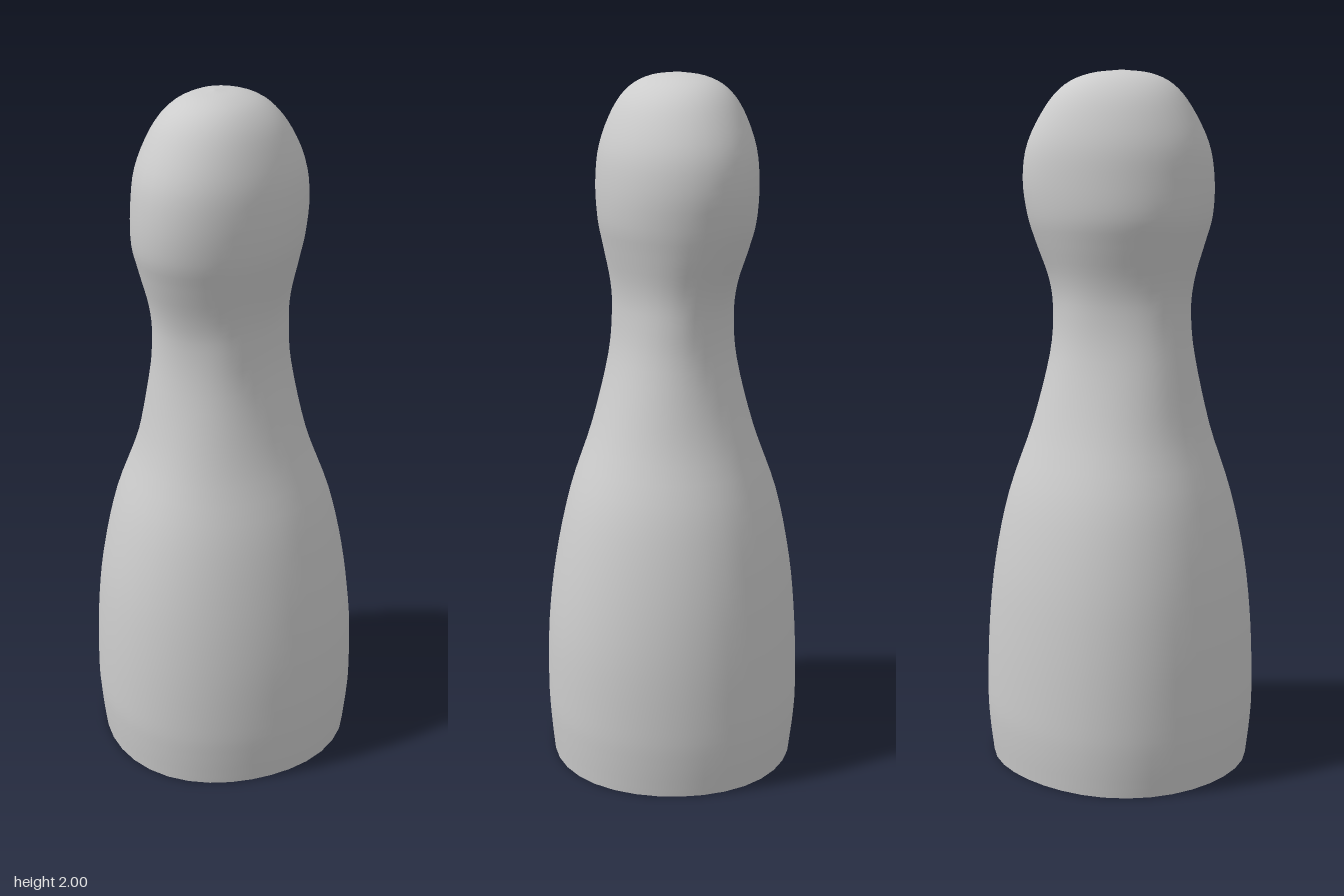
import * as THREE from 'three';

// Height; extent of the section: left x, right x, back z, front z;
// then skew (longer on one diagonal) and pinch (shorter on both diagonals)
const sections = [
  [0, -0.375, 0.375, -0.38, 0.376, 0.022, 0.022],
  [0.1, -0.386, 0.384, -0.391, 0.387, 0.022, 0.022],
  [0.2, -0.39, 0.388, -0.395, 0.392, 0.022, 0.022],
  [0.4, -0.384, 0.382, -0.388, 0.386, 0.022, 0.022],
  [0.6, -0.363, 0.355, -0.367, 0.365, 0.022, 0.022],
  [0.8, -0.318, 0.308, -0.325, 0.323, 0.022, 0.022],
  [1.0, -0.243, 0.232, -0.255, 0.258, 0.03, 0.015],
  [1.2, -0.19, 0.175, -0.2, 0.21, 0.07, -0.03],
  [1.33, -0.175, 0.16, -0.189, 0.196, 0.08, -0.05],
  [1.42, -0.184, 0.164, -0.201, 0.206, 0.075, -0.035],
  [1.52, -0.214, 0.186, -0.237, 0.235, 0.065, -0.01],
  [1.6, -0.235, 0.203, -0.262, 0.257, 0.06, 0.005],
  [1.7, -0.235, 0.208, -0.274, 0.261, 0.06, 0.005],
  [1.8, -0.224, 0.195, -0.26, 0.245, 0.055, 0],
  [1.9, -0.187, 0.152, -0.21, 0.197, 0.04, -0.01],
  [1.96, -0.142, 0.1, -0.155, 0.147, 0.03, -0.02],
  [1.99, -0.09, 0.04, -0.085, 0.085, 0.02, -0.02],
  [2.0, -0.027, -0.027, 0.003, 0.003, 0.02, -0.02],
];
const SIDES = 36;
const STEPS = 68;

const curve = (f) => new THREE.CatmullRomCurve3(
  sections.map((s) => new THREE.Vector3(...f(s))), false, 'catmullrom', 0.5);
const centres = curve(([y, l, r, b, f]) => [(l + r) / 2, y, (b + f) / 2]);
const radii = curve(([y, l, r, b, f]) => [(r - l) / 2, y, (f - b) / 2]);
const shapes = curve(([y, , , , , skew, pinch]) => [skew, y, pinch]);

// One nearly elliptical section at t along the height
function ring(t) {
  const c = centres.getPoint(t);
  const s = radii.getPoint(t);
  const { x: skew, z: pinch } = shapes.getPoint(t);
  return Array.from({ length: SIDES }, (_, j) => {
    const a = (j / SIDES) * Math.PI * 2;
    const d = Math.sin(2 * a);
    const k = 1 - skew * d - pinch * d * d;
    return [c.x + k * s.x * Math.cos(a), c.y, c.z + k * s.z * Math.sin(a)];
  });
}

export function createModel() {
  const group = new THREE.Group();
  group.name = 'pawnFigure';
  const grey = new THREE.MeshStandardMaterial({ color: 0xcccccc, side: THREE.DoubleSide });
  grey.name = 'light grey';

  // Body, neck and head as one smooth hollow skin, open underneath
  const pos = [];
  const idx = [];
  for (let i = 0; i <= STEPS; i++) pos.push(...ring(i / STEPS).flat());
  for (let i = 0; i < STEPS; i++) {
    for (let j = 0; j < SIDES; j++) {
      const k = (j + 1) % SIDES;
      const a = i * SIDES + j, b = a + SIDES;
      const c = i * SIDES + k, d = c + SIDES;
      idx.push(a, b, c);
      if (i < STEPS - 1) idx.push(b, d, c);
    }
  }
  const skin = new THREE.BufferGeometry();
  skin.setAttribute('position', new THREE.Float32BufferAttribute(pos, 3));
  skin.setIndex(idx);
  skin.computeVertexNormals();
  const body = new THREE.Mesh(skin, grey);
  body.name = 'bodyAndHead';

  group.add(body);
  return group;
}
